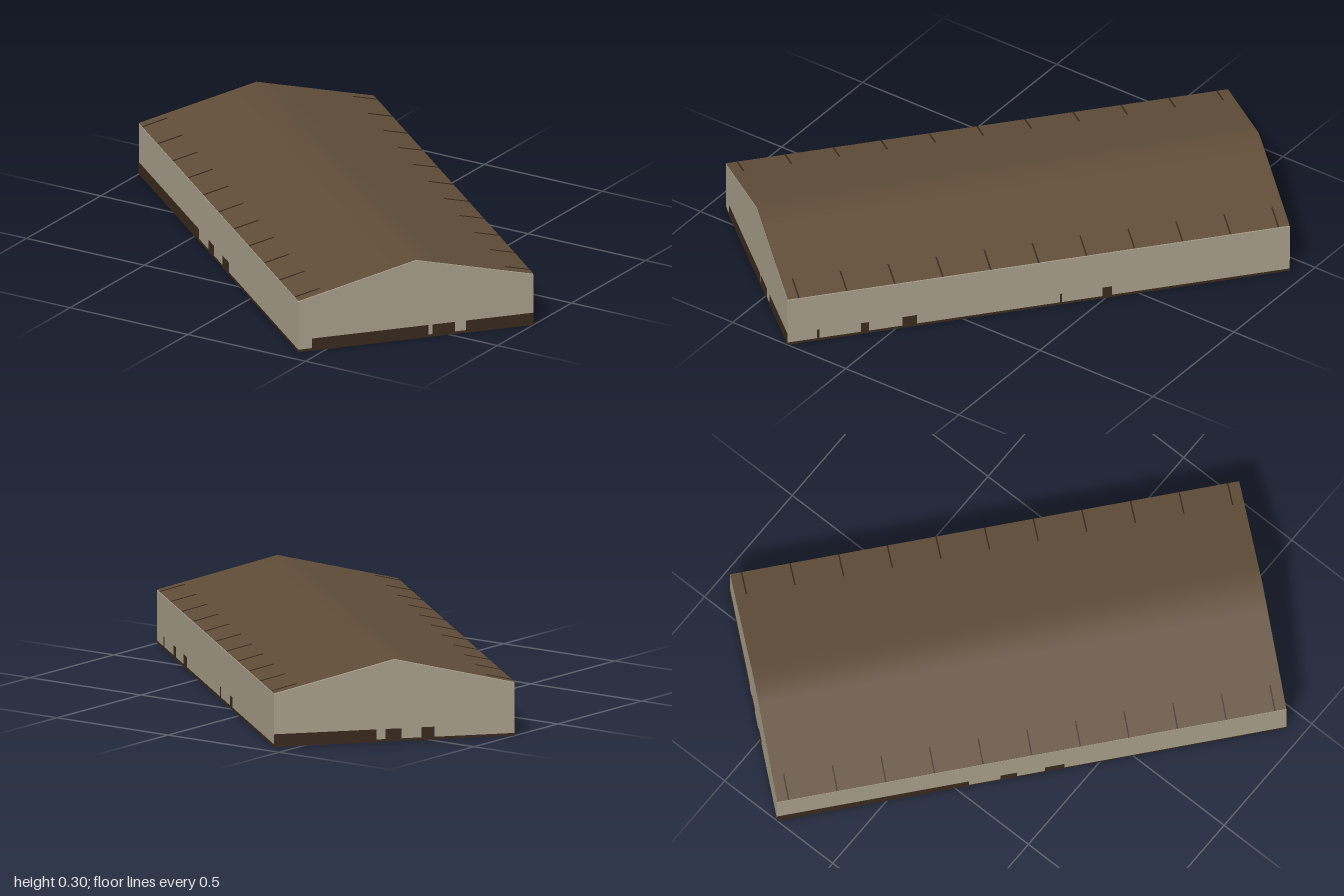
import * as THREE from 'three';

const L = 1.864, W = 0.888;              // length along local x, width along local z
const BASE = 0.01, EAVE = 0.197, RIDGE = 0.303;
const SLOPE = (RIDGE - EAVE) / (W / 2);
const roofY = (z) => RIDGE - Math.abs(z) * SLOPE;

const wallMat = new THREE.MeshStandardMaterial({ color: 0xa59c88 });
const roofMat = new THREE.MeshStandardMaterial({ color: 0x5f4c38, side: THREE.DoubleSide });
const darkMat = new THREE.MeshStandardMaterial({ color: 0x38281c });

function addMesh(parent, name, geometry, material) {
  const mesh = new THREE.Mesh(geometry, material);
  mesh.name = name;
  parent.add(mesh);
  return mesh;
}

// Dark panel low on a wall, spanning a..b along it
function addPanel(parent, wall, a, b) {
  const h = 0.037, t = 0.003, len = b - a, mid = (a + b) / 2;
  const onLong = wall === 'front' || wall === 'back';
  const sign = wall === 'front' || wall === 'left' ? 1 : -1;
  const geometry = onLong ? new THREE.BoxGeometry(len, h, t) : new THREE.BoxGeometry(t, h, len);
  const panel = addMesh(parent, wall + 'Opening', geometry, darkMat);
  const y = BASE + h / 2;
  if (onLong) panel.position.set(mid, y, sign * W / 2);
  else panel.position.set(sign * L / 2, y, mid);
}

export function createModel() {
  const model = new THREE.Group();
  model.name = 'building';
  const hall = new THREE.Group();
  hall.name = 'hall';
  hall.rotation.y = -0.696;
  model.add(hall);

  // Plinth
  addMesh(hall, 'plinth', new THREE.BoxGeometry(L, BASE, W), darkMat).position.y = BASE / 2;

  // Walls with gable ends, one extruded profile
  const gable = new THREE.Shape([
    new THREE.Vector2(-W / 2, BASE), new THREE.Vector2(W / 2, BASE),
    new THREE.Vector2(W / 2, EAVE - 0.003), new THREE.Vector2(0, RIDGE - 0.003),
    new THREE.Vector2(-W / 2, EAVE - 0.003),
  ]);
  const walls = new THREE.ExtrudeGeometry(gable, { depth: L, bevelEnabled: false });
  walls.translate(0, 0, -L / 2).rotateY(Math.PI / 2);
  addMesh(hall, 'walls', walls, wallMat);

  // Roof sheet, softly shaded only near the ridge
  const rows = [-W / 2, -0.09, 0, 0.09, W / 2];
  const roof = new THREE.PlaneGeometry(L, W, 1, rows.length - 1).rotateX(-Math.PI / 2);
  const pos = roof.attributes.position;
  for (let i = 0; i < pos.count; i++) {
    const z = rows[Math.floor(i / 2)];
    pos.setY(i, roofY(z));
    pos.setZ(i, z);
  }
  roof.computeVertexNormals();
  addMesh(hall, 'roof', roof, roofMat);

  // Rafter tips showing along both eaves
  const inset = 0.095, tilt = Math.atan(SLOPE);
  for (const side of [-1, 1]) {
    for (let i = 0; i < 11; i++) {
      const tip = addMesh(hall, 'rafterTip', new THREE.BoxGeometry(0.005, 0.004, inset), darkMat);
      const z = side * (W / 2 - inset / 2);
      tip.position.set(-0.89 + i * 0.178, roofY(z), z);
      tip.rotation.x = side * tilt;
    }
  }

  // Low openings on each wall
  const openings = {
    front: [[-L / 2, -0.231], [-0.114, -0.055], [0.049, 0.12]],
    back: [[0.815, 0.823], [0.63, 0.66], [0.452, 0.505], [-0.086, -0.078], [-0.272, -0.236]],
    left: [[-W / 2, -0.19], [-0.147, -0.062], [-0.047, 0.392]],
    right: [[-W / 2, -0.067], [-0.032, 0.026], [0.101, 0.148]],
  };
  for (const [wall, spans] of Object.entries(openings)) {
    for (const [a, b] of spans) addPanel(hall, wall, a, b);
  }
  return model;
}
